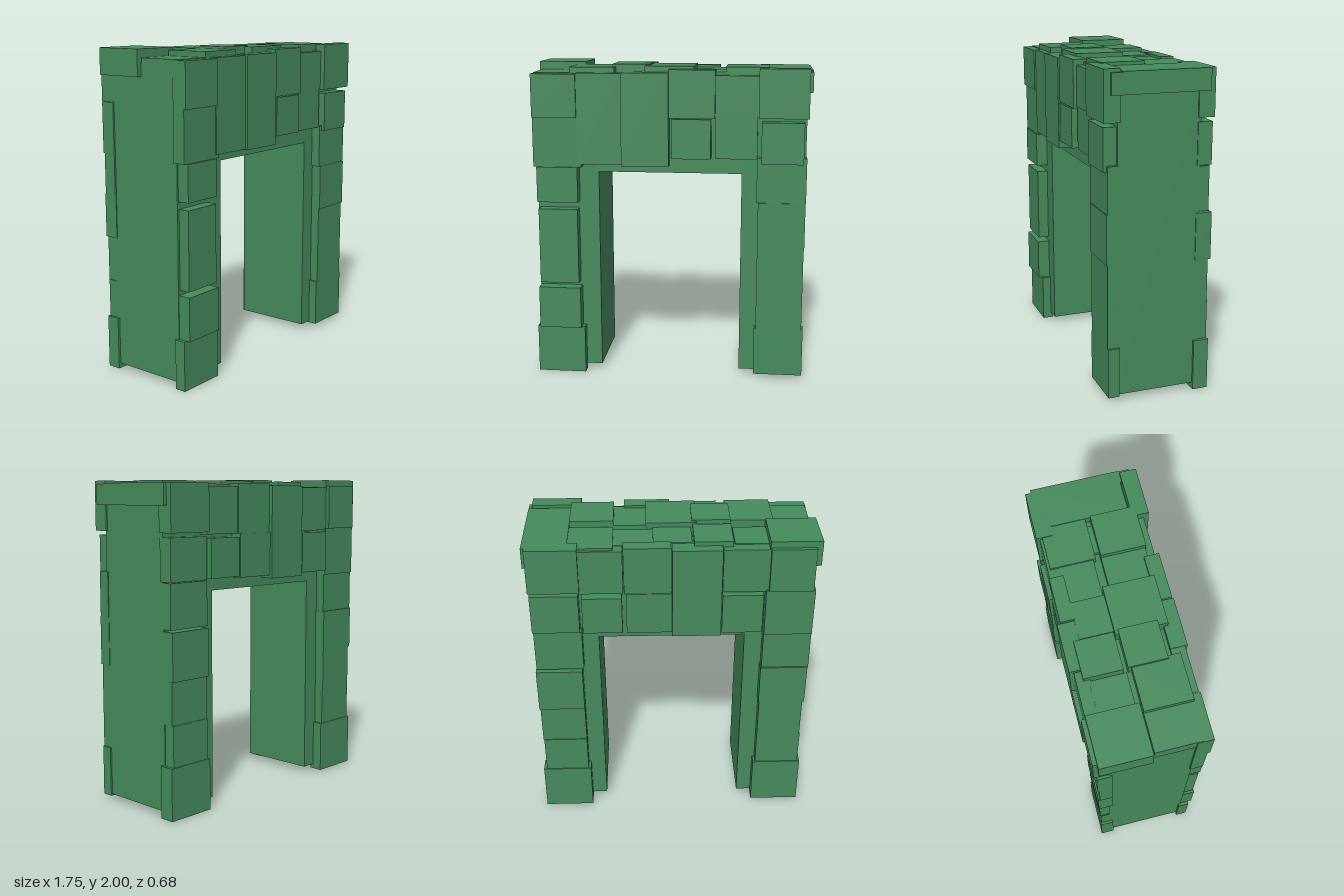
import * as THREE from 'three';

const CORE_Z = 0.255;

export function createModel() {
  const group = new THREE.Group();
  const stone = new THREE.MeshStandardMaterial({ color: 0x468a5c });

  // Box given by its limits on each axis
  function block(name, x0, x1, y0, y1, z0, z1) {
    const geo = new THREE.BoxGeometry(x1 - x0, y1 - y0, z1 - z0);
    const mesh = new THREE.Mesh(geo, stone);
    mesh.position.set((x0 + x1) / 2, (y0 + y1) / 2, (z0 + z1) / 2);
    mesh.name = name;
    group.add(mesh);
  }

  // Core: a gate-shaped slab with the opening cut out
  const outline = new THREE.Shape();
  [[-0.845, 0.04], [-0.45, 0.04], [-0.45, 1.33], [0.45, 1.33], [0.45, 0.04],
    [0.845, 0.04], [0.845, 1.92], [-0.845, 1.92]]
    .forEach(([x, y], i) => (i ? outline.lineTo(x, y) : outline.moveTo(x, y)));
  const coreGeo = new THREE.ExtrudeGeometry(outline, { depth: CORE_Z * 2, bevelEnabled: false });
  coreGeo.translate(0, 0, -CORE_Z);
  const core = new THREE.Mesh(coreGeo, stone);
  core.name = 'archCore';
  group.add(core);

  // Front facing stones: x0, x1, y0, y1, outer z
  const front = [
    // -x leg
    [-0.86, -0.55, 0, 0.31, 0.31],
    [-0.84, -0.57, 0.31, 0.58, 0.335],
    [-0.83, -0.58, 0.61, 1.095, 0.325],
    [-0.835, -0.575, 1.14, 1.365, 0.33],
    [-0.855, -0.55, 1.365, 1.675, 0.32],
    [-0.855, -0.575, 1.675, 1.945, 0.335],
    // +x leg
    [0.545, 0.855, 0.03, 0.34, 0.31],
    [0.555, 0.845, 0.34, 0.86, 0.312],
    [0.555, 0.848, 0.86, 1.16, 0.32],
    [0.545, 0.85, 1.16, 1.44, 0.315],
    [0.57, 0.83, 1.405, 1.66, 0.335],
    [0.55, 0.855, 1.685, 1.985, 0.34],
    // lintel
    [-0.575, -0.295, 1.385, 1.95, 0.325],
    [-0.295, 0, 1.38, 1.955, 0.34],
    [0, 0.285, 1.68, 1.975, 0.33],
    [0.015, 0.26, 1.43, 1.675, 0.335],
    [0.285, 0.55, 1.69, 1.94, 0.31],
    [0.285, 0.545, 1.43, 1.69, 0.305],
  ];
  for (const [x0, x1, y0, y1, z] of front) block('frontStone', x0, x1, y0, y1, 0.24, z);

  // Back facing stones: x0, x1, y0, y1, outer depth behind the centre
  const back = [
    // -x leg
    [-0.86, -0.545, 0.01, 0.34, 0.32],
    [-0.845, -0.56, 0.34, 0.575, 0.315],
    [-0.84, -0.56, 0.575, 0.85, 0.32],
    [-0.85, -0.555, 0.85, 1.12, 0.325],
    [-0.855, -0.56, 1.12, 1.37, 0.315],
    [-0.855, -0.56, 1.37, 1.68, 0.325],
    [-0.84, -0.575, 1.68, 1.96, 0.34],
    // +x leg
    [0.545, 0.86, 0, 0.32, 0.33],
    [0.56, 0.84, 0.32, 0.57, 0.325],
    [0.56, 0.845, 0.57, 0.83, 0.32],
    [0.56, 0.85, 0.83, 1.12, 0.335],
    [0.55, 0.845, 1.13, 1.4, 0.315],
    [0.56, 0.85, 1.405, 1.66, 0.325],
    [0.55, 0.855, 1.685, 1.97, 0.335],
    // lintel
    [-0.545, -0.3, 1.4, 1.66, 0.34],
    [-0.575, -0.3, 1.67, 1.95, 0.315],
    [-0.295, 0, 1.38, 1.96, 0.34],
    [0, 0.275, 1.4, 1.67, 0.325],
    [0.005, 0.285, 1.67, 1.97, 0.32],
    [0.3, 0.54, 1.41, 1.65, 0.34],
    [0.29, 0.55, 1.67, 1.95, 0.315],
  ];
  for (const [x0, x1, y0, y1, z] of back) block('backStone', x0, x1, y0, y1, -z, -0.235);

  // Top stones: x0, x1, z0, z1, top y
  const top = [
    [-0.57, -0.37, -0.245, -0.03, 1.955],
    [-0.36, -0.13, -0.275, -0.045, 1.985],
    [-0.12, 0.11, -0.24, -0.04, 1.965],
    [0.11, 0.345, -0.245, -0.045, 1.955],
    [0.345, 0.61, -0.3, -0.03, 1.965],
    [0.39, 0.57, -0.03, 0, 1.945],
    [-0.85, -0.62, 0, 0.275, 1.95],
    [-0.62, -0.34, 0, 0.285, 1.985],
    [-0.36, -0.125, -0.02, 0.21, 2],
    [-0.155, 0.15, -0.04, 0.265, 1.993],
    [0.15, 0.345, 0, 0.265, 1.96],
    [0.345, 0.61, 0, 0.27, 1.99],
  ];
  for (const [x0, x1, z0, z1, y] of top) block('topStone', x0, x1, 1.85, y, z0, z1);

  // Overhanging end stones on the top corners
  block('endStone', -0.875, -0.57, 1.84, 2, -0.315, -0.01);
  block('endStone', 0.61, 0.875, 1.84, 1.97, -0.3, 0.23);
  block('endStone', 0.8, 0.875, 1.84, 1.965, 0.2, 0.3);

  return group;
}
